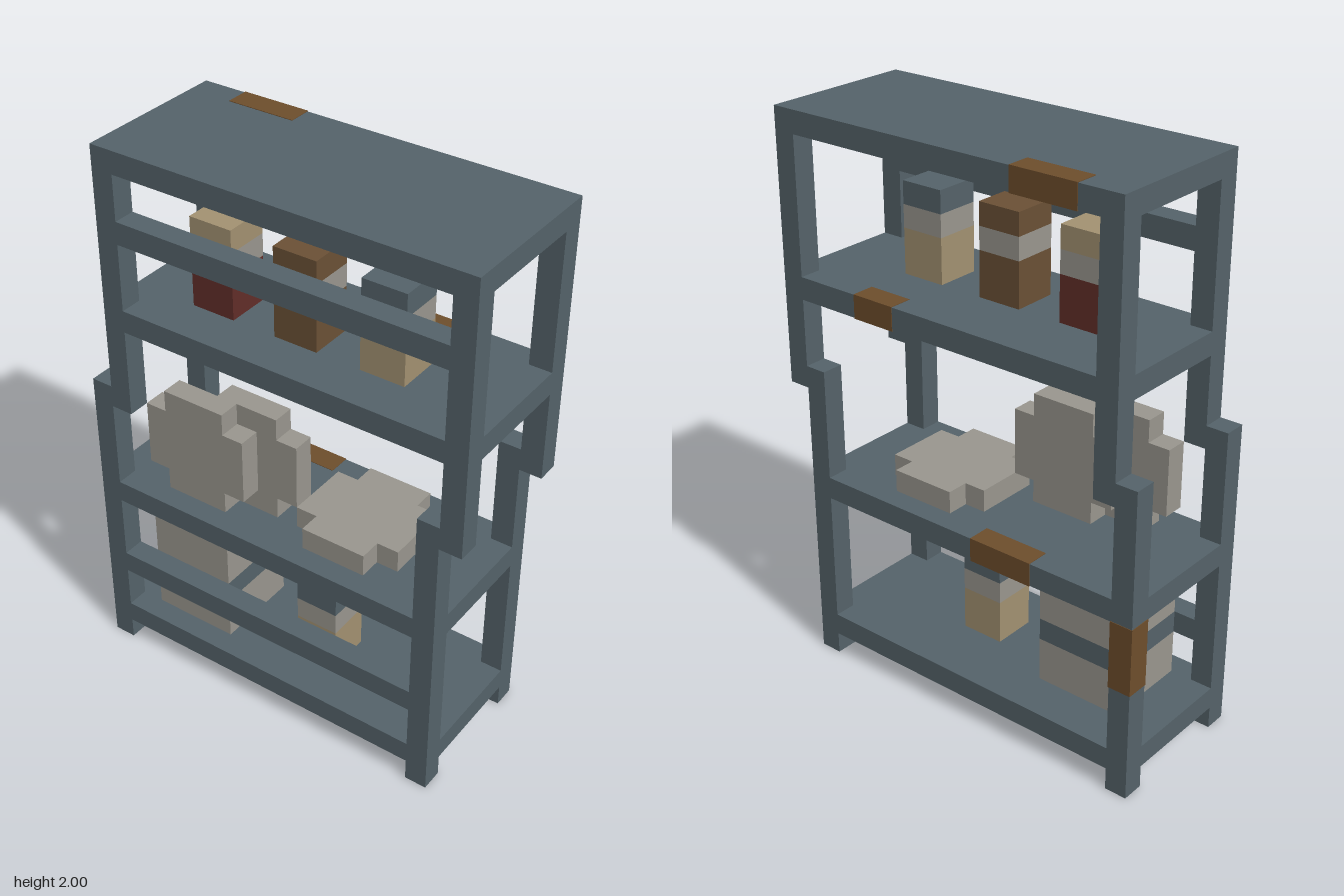
import * as THREE from 'three';

const U = 0.08; // module size everything is built on

const mat = (name, color) => {
  const m = new THREE.MeshStandardMaterial({ color });
  m.name = name;
  return m;
};

export function createModel() {
  const slate = mat('slate metal', 0x55636a);
  const grey = mat('light grey', 0x9a978f);
  const tan = mat('tan', 0xa39272);
  const brown = mat('brown', 0x6b5136);
  const red = mat('dark red', 0x622e29);
  const rust = mat('rust', 0x6e4e2c);

  const root = new THREE.Group();
  root.name = 'storageRack';

  // Box from its minimum and maximum corners, optionally grown a little
  function box(parent, name, material, [x0, y0, z0], [x1, y1, z1], grow = 0) {
    const g = new THREE.BoxGeometry(x1 - x0 + grow * 2, y1 - y0 + grow * 2, z1 - z0 + grow * 2);
    const mesh = new THREE.Mesh(g, material);
    mesh.position.set((x0 + x1) / 2, (y0 + y1) / 2, (z0 + z1) / 2);
    mesh.name = name;
    parent.add(mesh);
    return mesh;
  }

  // Frame: lower half shifted one module to the right of the upper half
  const frame = new THREE.Group();
  frame.name = 'frame';
  root.add(frame);
  const tiers = [
    { name: 'lower', x0: -0.72, x1: 0.64, y0: 0, y1: 1.12, shelves: [0.08, 0.64], rail: 0.32 },
    { name: 'upper', x0: -0.64, x1: 0.72, y0: 1.04, y1: 2, shelves: [1.36, 1.92], rail: 1.68 },
  ];
  for (const t of tiers) {
    for (const x of [t.x0, t.x1 - U])
      for (const z of [-0.28, 0.2])
        box(frame, t.name + 'Leg', slate, [x, t.y0, z], [x + U, t.y1, z + U]);
    for (const y of t.shelves)
      box(frame, t.name + 'Shelf', slate, [t.x0, y, -0.28], [t.x1, y + U, 0.28]);
    box(frame, t.name + 'FrontRail', slate, [t.x0 + U, t.rail, 0.2], [t.x1 - U, t.rail + U, 0.28]);
  }

  // Rust patches wrapped thinly over the back edges
  const patches = [
    [-0.48, 1.92, -0.24, 2],
    [0.24, 1.36, 0.4, 1.44],
    [-0.32, 0.64, -0.08, 0.72],
    [-0.72, 0.4, -0.64, 0.64],
  ];
  for (const [x0, y0, x1, y1] of patches)
    box(frame, 'rustPatch', rust, [x0, y0, -0.28], [x1, y1, -0.2], 0.002);

  // Containers: stacked bands of colour, given as [material, height in modules]
  function container(name, x, y, z, width, bands) {
    const group = new THREE.Group();
    group.name = name;
    root.add(group);
    for (const [material, n] of bands) {
      box(group, name + 'Band', material, [x, y, z], [x + width, y + n * U, z + width]);
      y += n * U;
    }
  }
  container('crate', -0.56, 0.16, -0.12, 0.32, [[grey, 2], [slate, 1], [grey, 2]]);
  container('lowerCan', 0, 0.16, -0.04, 0.16, [[tan, 2], [grey, 1], [slate, 1]]);
  container('redCan', -0.4, 1.44, -0.04, 0.16, [[red, 2], [grey, 1], [tan, 1]]);
  container('brownCan', -0.08, 1.44, -0.04, 0.16, [[brown, 2], [grey, 1], [brown, 1]]);
  container('tanCan', 0.24, 1.44, -0.04, 0.16, [[tan, 2], [grey, 1], [slate, 1]]);

  // Notched discs: square plates with the four corners cut out
  const a = 0.12, b = 0.2;
  const outline = new THREE.Shape([
    [-a, -b], [a, -b], [a, -a], [b, -a], [b, a], [a, a],
    [a, b], [-a, b], [-a, a], [-b, a], [-b, -a], [-a, -a],
  ].map(([x, y]) => new THREE.Vector2(x, y)));
  const discGeometry = new THREE.ExtrudeGeometry(outline, { depth: U, bevelEnabled: false });
  discGeometry.translate(0, 0, -U / 2);
  function disc(name, x, y, z, flat) {
    const mesh = new THREE.Mesh(discGeometry, grey);
    mesh.name = name;
    mesh.position.set(x, y, z);
    if (flat) mesh.rotation.x = -Math.PI / 2;
    root.add(mesh);
  }
  disc('frontDisc', -0.36, 0.92, 0.16, false);
  disc('rearDisc', -0.2, 0.92, 0.08, false);
  disc('flatDisc', 0.2, 0.76, 0, true);

  return root;
}
